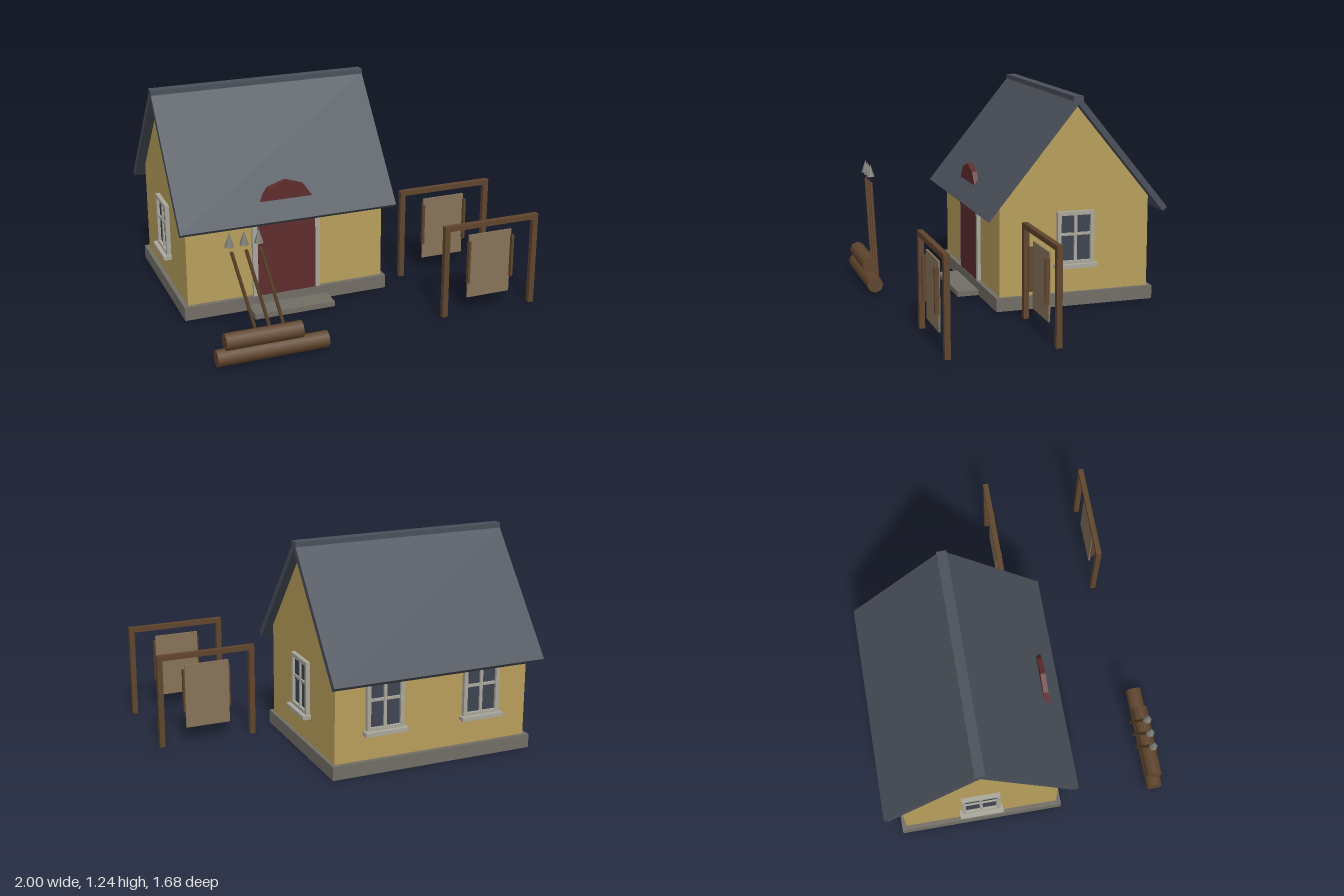
import * as THREE from 'three';

const mat = (name, color) => {
  const m = new THREE.MeshStandardMaterial({ color });
  m.name = name;
  return m;
};

export function createModel() {
  const wallYellow = mat('wall yellow', 0xb89f5c);
  const slate = mat('slate', 0x4a505a);
  const doorRed = mat('door red', 0x5e2c2c);
  const stone = mat('stone', 0x726e66);
  const trim = mat('pale trim', 0xaaa79c);
  const glass = mat('window glass', 0x3e4450);
  const wood = mat('dark wood', 0x60452d);
  const hide = mat('tan hide', 0x87745a);
  const steel = mat('steel', 0x7f7d76);
  steel.flatShading = true;

  const model = new THREE.Group();
  model.name = 'cottage';

  const add = (parent, name, geometry, material) => {
    const mesh = new THREE.Mesh(geometry, material);
    mesh.name = name;
    parent.add(mesh);
    return mesh;
  };
  // Box given by its extents
  const box = (parent, name, material, x0, x1, y0, y1, z0, z1) => {
    const mesh = add(parent, name, new THREE.BoxGeometry(x1 - x0, y1 - y0, z1 - z0), material);
    mesh.position.set((x0 + x1) / 2, (y0 + y1) / 2, (z0 + z1) / 2);
    return mesh;
  };
  const group = (name) => {
    const g = new THREE.Group();
    g.name = name;
    model.add(g);
    return g;
  };
  const outline = (points) => new THREE.Shape(points.map(([x, y]) => new THREE.Vector2(x, y)));
  const extrude = (shape, depth) => new THREE.ExtrudeGeometry(shape, { depth, bevelEnabled: false });
  // Profile in (z, y) carried along x from x0 to x1
  const alongX = (points, x0, x1) =>
    extrude(outline(points), x1 - x0).rotateY(-Math.PI / 2).translate(x1, 0, 0);

  const CX = -0.35, CZ = -0.276;

  // Foundation and door step
  const house = group('house');
  box(house, 'foundation', stone, -0.973, 0.267, 0, 0.08, -0.762, 0.21);
  box(house, 'doorStep', stone, -0.595, -0.11, 0, 0.032, 0.2, 0.34);

  // Gabled walls
  const w = 0.459;
  add(house, 'walls', alongX([
    [CZ - w, 0.078], [CZ + w, 0.078], [CZ + w, 0.628], [CZ, 1.187], [CZ - w, 0.628],
  ], -0.947, 0.246), wallYellow);

  // Roof slopes and ridge cap
  add(house, 'roof', alongX([
    [CZ + 0.536, 0.538], [CZ + 0.563, 0.561], [CZ + 0.026, 1.215], [CZ - 0.026, 1.215],
    [CZ - 0.563, 0.561], [CZ - 0.536, 0.538], [CZ, 1.191],
  ], -1, 0.295), slate);
  box(house, 'ridgeCap', slate, -1, 0.295, 1.195, 1.24, CZ - 0.029, CZ + 0.029);

  // Door whose arched top breaks through the roof
  const door = add(house, 'door', extrude(outline([
    [-0.175, 0.08], [0.175, 0.08], [0.175, 0.6], [0.157, 0.66], [0.105, 0.735],
    [0, 0.77], [-0.105, 0.735], [-0.157, 0.66], [-0.175, 0.6],
  ]), 0.03), doorRed);
  door.position.set(CX - 0.004, 0, 0.176);
  for (const s of [-1, 1]) {
    const x = CX - 0.004 + s * 0.19;
    box(house, 'doorJamb', trim, x - 0.015, x + 0.015, 0.08, 0.6, 0.17, 0.204);
  }

  // Windows: frame with opening, glass, glazing bars and sill, facing local +z
  const addWindow = (x, z, turn) => {
    const g = group('window');
    const frame = outline([[-0.113, 0.253], [0.113, 0.253], [0.113, 0.566], [-0.113, 0.566]]);
    frame.holes.push(outline([[-0.09, 0.272], [-0.09, 0.543], [0.09, 0.543], [0.09, 0.272]]));
    add(g, 'windowFrame', extrude(frame, 0.025), trim);
    box(g, 'windowGlass', glass, -0.092, 0.092, 0.27, 0.545, 0, 0.008);
    box(g, 'verticalBar', trim, -0.009, 0.009, 0.27, 0.545, 0, 0.018);
    box(g, 'horizontalBar', trim, -0.092, 0.092, 0.422, 0.438, 0, 0.017);
    box(g, 'windowSill', trim, -0.129, 0.129, 0.231, 0.254, -0.005, 0.05);
    g.position.set(x, 0, z);
    g.rotation.y = turn;
  };
  addWindow(0.246, CZ, Math.PI / 2);
  addWindow(-0.947, CZ, -Math.PI / 2);
  for (const s of [-1, 1]) addWindow(CX + s * 0.3, CZ - w, Math.PI);

  // Two drying racks with stretched hides
  for (const z of [0.084, 0.69]) {
    const rack = group('dryingRack');
    for (const x of [0.41, 0.968])
      box(rack, 'rackPost', wood, x, x + 0.032, 0, 0.53, z - 0.016, z + 0.016);
    box(rack, 'rackBeam', wood, 0.41, 1, 0.526, 0.556, z - 0.016, z + 0.016);
    box(rack, 'hide', hide, 0.567, 0.835, 0.096, 0.483, z - 0.005, z + 0.005);
    for (const x of [0.563, 0.837])
      box(rack, 'stretcherRod', wood, x - 0.007, x + 0.007, 0.195, 0.45, z + 0.002, z + 0.027);
  }

  // Stacked logs
  const logs = group('logPile');
  for (const [x0, x1, y] of [[-0.963, -0.334, 0.054], [-0.914, -0.481, 0.142]]) {
    const log = add(logs, 'log',
      new THREE.CylinderGeometry(0.049, 0.049, x1 - x0, 8).rotateZ(Math.PI / 2), wood);
    log.position.set((x0 + x1) / 2, y, 0.797);
  }

  // Spears leaning beside the logs
  const spears = group('spears');
  for (let i = 0; i < 3; i++) {
    const x = -0.845 + i * 0.08;
    const top = new THREE.Vector3(x, 0.625, 0.742);
    const foot = new THREE.Vector3(x + 0.155, 0.022, 0.742);
    const shaft = add(spears, 'spearShaft',
      new THREE.CylinderGeometry(0.01, 0.01, top.distanceTo(foot), 6), wood);
    shaft.position.copy(top).add(foot).multiplyScalar(0.5);
    shaft.rotation.z = Math.atan2(foot.x - top.x, top.y - foot.y);
    const head = add(spears, 'spearHead', new THREE.ConeGeometry(0.026, 0.08, 6), steel);
    head.position.set(x - 0.01, 0.697, 0.742);
  }

  return model;
}
